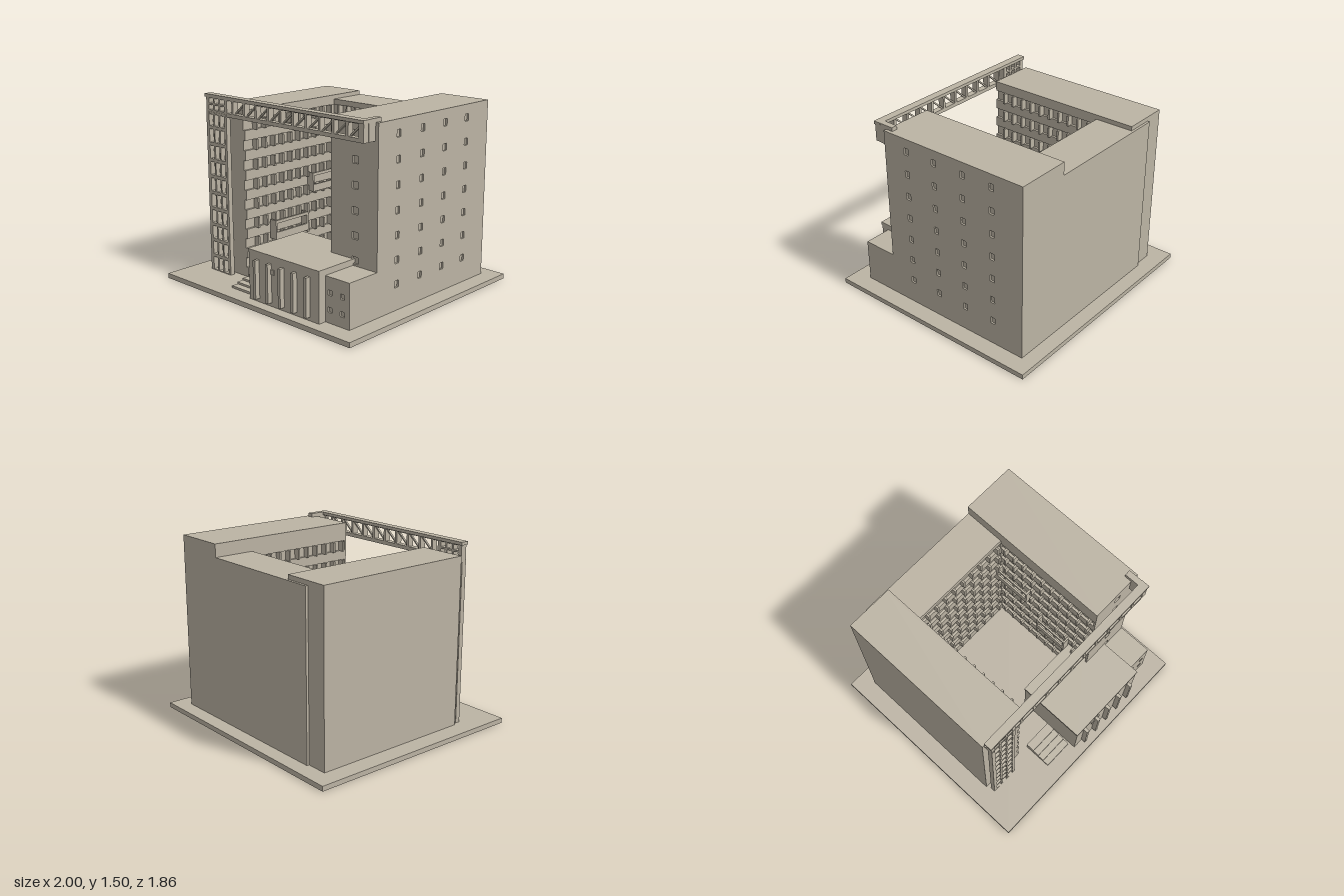
import * as THREE from 'three';

export function createModel() {
  const model = new THREE.Group();
  const stone = new THREE.MeshStandardMaterial({ color: 0xbcb4a4 });
  stone.name = 'warm stone';

  // Box given by its lower and upper limits
  const box = (name, x0, x1, y0, y1, z0, z1) => {
    const mesh = new THREE.Mesh(new THREE.BoxGeometry(x1 - x0, y1 - y0, z1 - z0), stone);
    mesh.position.set((x0 + x1) / 2, (y0 + y1) / 2, (z0 + z1) / 2);
    mesh.name = name;
    model.add(mesh);
    return mesh;
  };

  // Upright panel with rectangular holes [u, v, width, height], slightly rounded
  const panel = (name, u0, u1, v0, v1, depth, holes, r = 0.006) => {
    const shape = new THREE.Shape();
    shape.moveTo(u0, v0).lineTo(u1, v0).lineTo(u1, v1).lineTo(u0, v1).closePath();
    for (const [u, v, w, h] of holes) {
      const a = u - w / 2, b = u + w / 2, c = v - h / 2, d = v + h / 2;
      const path = new THREE.Path();
      path.moveTo(a + r, c).lineTo(b - r, c).quadraticCurveTo(b, c, b, c + r);
      path.lineTo(b, d - r).quadraticCurveTo(b, d, b - r, d);
      path.lineTo(a + r, d).quadraticCurveTo(a, d, a, d - r);
      path.lineTo(a, c + r).quadraticCurveTo(a, c, a + r, c);
      shape.holes.push(path);
    }
    const geo = new THREE.ExtrudeGeometry(shape, { depth, bevelEnabled: false, curveSegments: 2 });
    const mesh = new THREE.Mesh(geo, stone);
    mesh.name = name;
    model.add(mesh);
    return mesh;
  };

  const floorY = 0.04;
  const rows = 8, rowStart = 0.12, rowStep = 0.16, rowHeight = 0.08;
  const rowY = (i) => rowStart + i * rowStep;

  // Ground slab
  box('groundSlab', -1, 1, 0, floorY, -0.93, 0.93);

  // Main blocks, set back where the window bands are recessed
  box('leftWing', -0.85, -0.48, floorY, 1.4, -0.79, 0.54);
  box('backWing', -0.68, 0.43, floorY, 1.365, -0.81, -0.49);
  box('rightWing', 0.43, 0.845, floorY, 1.47, -0.81, 0.475);
  box('rightWingRearCorner', 0.41, 0.43, floorY, 1.47, -0.81, -0.47);

  // Parapet bands between the window rows of the courtyard walls
  for (let i = 0; i <= rows; i++) {
    const y0 = i === 0 ? floorY : rowY(i - 1) + rowHeight;
    const y1 = (top) => (i === rows ? top : rowY(i));
    box('leftParapet', -0.48, -0.46, y0, y1(1.4), -0.49, 0.54);
    box('backParapet', -0.46, 0.41, y0, y1(1.365), -0.49, -0.47);
    box('rightParapet', 0.41, 0.43, y0, y1(1.47), -0.47, 0.475);
  }
  box('leftWingRearCorner', -0.48, -0.46, 1.3, 1.4, -0.79, -0.49);

  // Fins that divide the windows
  for (let i = 0; i < rows; i++) {
    const y0 = rowY(i) - 0.003, y1 = rowY(i) + rowHeight + 0.003;
    for (let k = 0; k < 10; k++) {
      const z = -0.404 + k * 0.0933;
      box('leftFin', -0.48, -0.43, y0, y1, z - 0.008, z + 0.008);
      box('rightFin', 0.38, 0.43, y0, y1, z - 0.008, z + 0.008);
    }
    for (let k = 0; k < 9; k++) {
      const x = -0.388 + k * 0.0933;
      box('backFin', x - 0.008, x + 0.008, y0, y1, -0.49, -0.443);
    }
  }

  // Framed balconies on the courtyard sides
  const balcony = (name, x0, x1, side, y, z0, z1) => {
    const outer = side > 0 ? [x1 - 0.015, x1] : [x0, x0 + 0.015];
    box(name + 'Floor', x0, x1, y, y + 0.02, z0, z1);
    box(name + 'Rail', ...outer, y, y + 0.06, z0, z1);
    box(name + 'Lintel', ...outer, y + 0.135, y + 0.16, z0, z1);
    for (const z of [z0, z1 - 0.015]) box(name + 'End', x0, x1, y, y + 0.16, z, z + 0.015);
  };
  balcony('leftFrontBalcony', -0.46, -0.39, 1, 0.31, -0.08, 0.29);
  balcony('leftRearBalcony', -0.46, -0.39, 1, 0.63, -0.465, -0.14);
  balcony('rightFrontBalcony', 0.35, 0.41, -1, 0.47, -0.02, 0.28);
  balcony('rightRearBalcony', 0.35, 0.41, -1, 0.79, -0.465, -0.14);

  // Right wing outer walls with small recessed windows
  const sideHoles = [], frontHoles = [];
  for (let i = 0; i < 7; i++) {
    const y = 0.245 + i * 0.187;
    for (const z of [0.27, 0, -0.268, -0.535]) sideHoles.push([-z, y, 0.042, 0.055]);
    if (i > 0) frontHoles.push([0.648, y, 0.058, 0.055]);
  }
  const sideWall = panel('rightSideWall', -0.49, 0.81, floorY, 1.47, 0.015, sideHoles);
  sideWall.rotation.y = Math.PI / 2;
  sideWall.position.x = 0.845;
  panel('rightFrontWall', 0.41, 0.845, floorY, 1.47, 0.015, frontHoles).position.z = 0.475;

  // Low annex in front of the right wing
  box('annex', 0.6, 0.86, floorY, 0.39, 0.49, 0.765);
  const annexHoles = [];
  for (const x of [0.675, 0.795]) for (const y of [0.14, 0.27]) annexHoles.push([x, y, 0.042, 0.04]);
  panel('annexFrontWall', 0.6, 0.86, floorY, 0.39, 0.015, annexHoles).position.z = 0.765;

  // Entrance hall with pilasters
  box('hall', -0.1, 0.63, floorY, 0.415, 0.275, 0.845);
  box('hallRoof', -0.105, 0.635, 0.415, 0.44, 0.27, 0.85);
  for (let i = 0; i < 5; i++) {
    const x = -0.003 + i * 0.133;
    box('hallPilaster', x - 0.013, x + 0.013, 0.07, 0.375, 0.845, 0.885);
  }
  box('hallPlaque', 0.08, 0.176, 0.293, 0.332, 0.845, 0.852);

  // Entrance steps
  for (let i = 0; i < 4; i++) {
    box('step', -0.37, -0.115, floorY, 0.058 + i * 0.016, 0.55, 0.79 - i * 0.055);
  }

  // Lattice tower in front of the left wing
  const columns = [[-0.773, 0.05], [-0.707, 0.05], [-0.641, 0.05]];
  const latticeHoles = [];
  for (let i = 0; i < 10; i++) {
    for (const [x, w] of columns) latticeHoles.push([x, 0.105 + i * 0.1335 - 0.005, w, 0.108]);
  }
  panel('latticeTower', -0.83, -0.59, floorY, 1.36, 0.04, latticeHoles).position.z = 0.573;

  // Long roof beam with openings and diagonal braces
  const beamHoles = [];
  for (const [x, w] of columns) for (const y of [1.395, 1.449]) beamHoles.push([x, y, w, 0.04]);
  beamHoles.push([-0.557, 1.42, 0.055, 0.1]);
  for (let i = 0; i < 10; i++) {
    const x = -0.455 + i * 0.133, w = i === 9 ? 0.095 : 0.112;
    beamHoles.push([i === 9 ? x - 0.006 : x, 1.42, w, 0.1]);
    const brace = box('beamBrace', -0.076, 0.076, -0.006, 0.006, -0.008, 0.008);
    brace.position.set(x, 1.42, 0.58);
    brace.rotation.z = 0.73;
  }
  panel('roofBeam', -0.83, 0.83, 1.34, 1.475, 0.05, beamHoles).position.z = 0.56;
  box('roofBeamCap', -0.84, 0.835, 1.475, 1.5, 0.55, 0.617);
  box('roofBeamReturn', 0.785, 0.833, 1.34, 1.5, 0.43, 0.56);

  // Ties that hold the beam and tower to the left wing
  for (const x of [-0.82, -0.6]) box('beamTie', x - 0.01, x + 0.01, 1.345, 1.37, 0.53, 0.58);

  return model;
}
